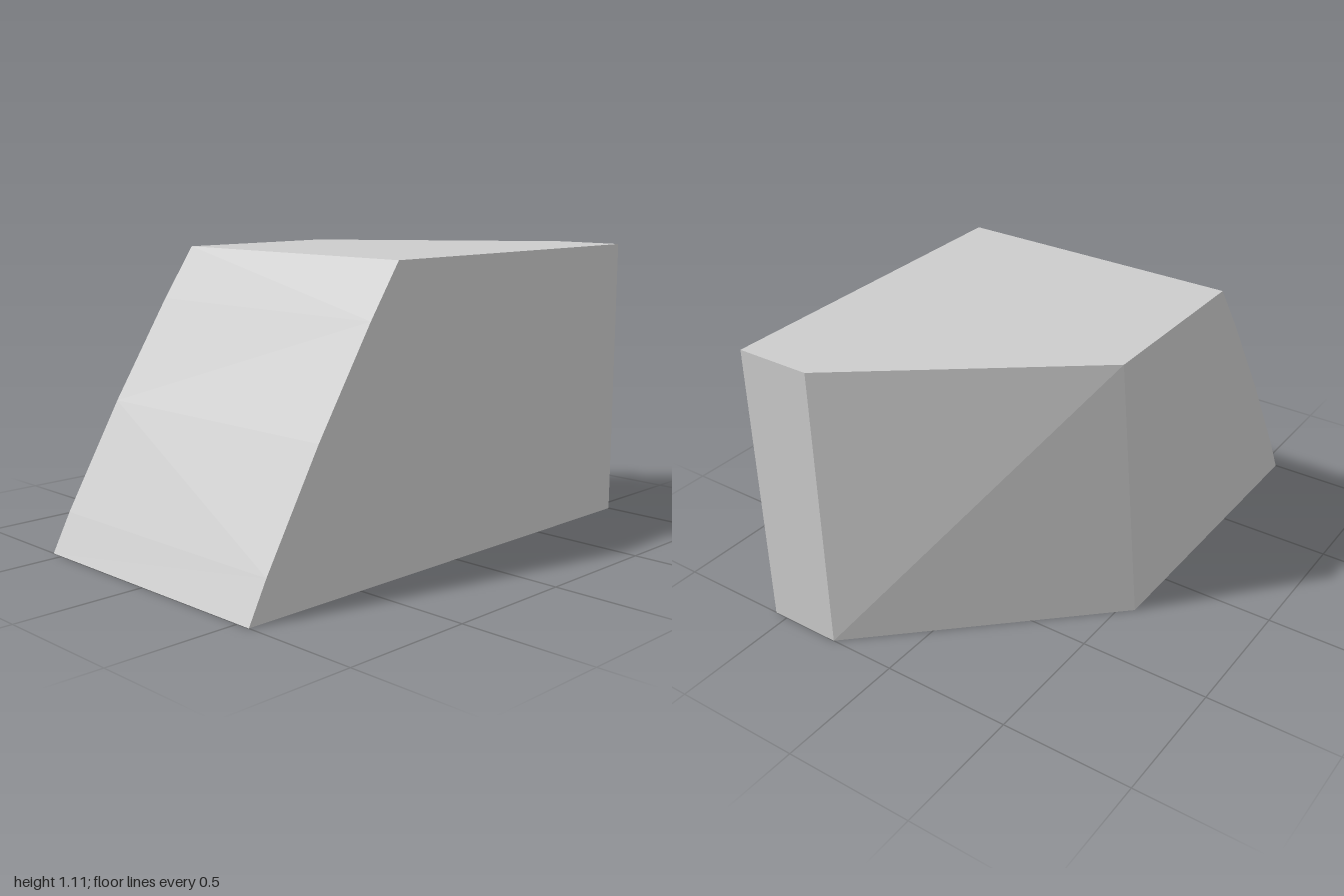
import * as THREE from 'three';
import { ConvexGeometry } from 'three/addons/geometries/ConvexGeometry.js';

export function createModel() {
  const group = new THREE.Group();
  group.name = 'wedgeBlock';
  const grey = new THREE.MeshStandardMaterial({ color: 0xcccccc });
  grey.name = 'light grey';

  const height = 1.11;
  const depth = 0.555; // half depth
  const points = [];

  // Gently bowed sloping end, the same at front and back
  const slope = [[-1, 0], [-0.925, 0.145], [-0.695, 0.54], [-0.455, 0.915], [-0.32, height]];
  for (const [x, y] of slope) {
    for (const z of [depth, -depth]) points.push(new THREE.Vector3(x, y, z));
  }

  // Square end with its back corner cut off; the cut reaches further in at the base
  for (const [y, cutX] of [[0, 0.23], [height, 0.375]]) {
    points.push(
      new THREE.Vector3(1, y, depth),
      new THREE.Vector3(1, y, 0.265),
      new THREE.Vector3(cutX, y, -depth)
    );
  }

  const block = new THREE.Mesh(new ConvexGeometry(points), grey);
  block.name = 'block';
  group.add(block);
  return group;
}
